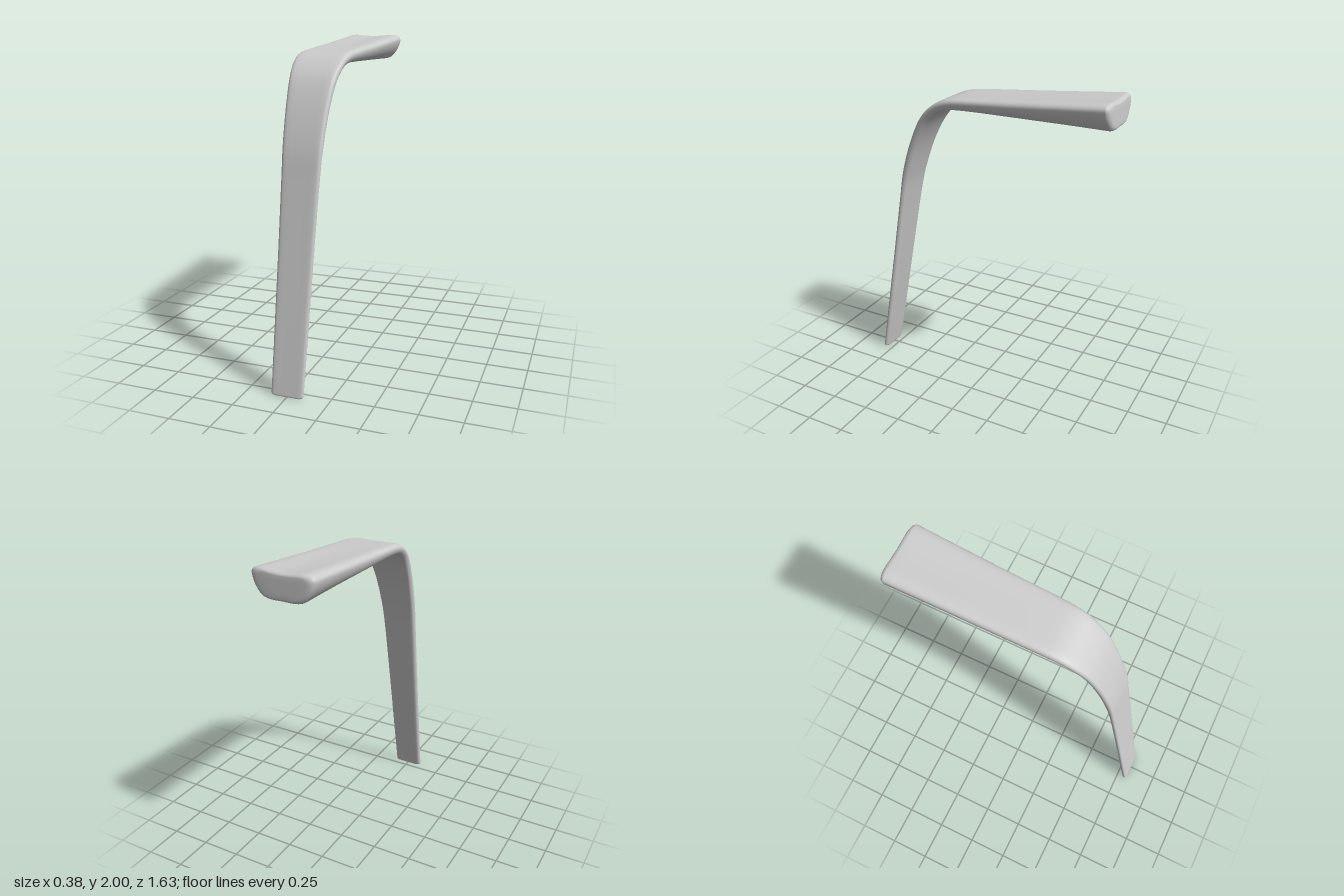
import * as THREE from 'three';

// Stations from foot to tip: [outer z, outer y, inner z, inner y, half width, bowl blend]
const STATIONS = [
  [0.818, 0.012, 0.785, 0.012, 0.098, 0],
  [0.748, 0.4, 0.712, 0.4, 0.103, 0],
  [0.675, 0.8, 0.638, 0.8, 0.108, 0],
  [0.602, 1.2, 0.562, 1.2, 0.115, 0],
  [0.563, 1.4, 0.517, 1.38, 0.121, 0],
  [0.495, 1.6, 0.447, 1.575, 0.13, 0],
  [0.41, 1.765, 0.365, 1.725, 0.142, 0.02],
  [0.31, 1.86, 0.285, 1.807, 0.156, 0.06],
  [0.2, 1.908, 0.19, 1.838, 0.165, 0.15],
  [0.03, 1.928, 0.03, 1.843, 0.171, 0.35],
  [-0.25, 1.952, -0.25, 1.841, 0.177, 0.6],
  [-0.52, 1.976, -0.52, 1.839, 0.184, 0.85],
  [-0.78, 2.0, -0.785, 1.837, 0.192, 1],
];

// Half sections: [fraction of half width, height from inner (0) to outer (1)]
const STRIP = [[0, 1], [0.4, 1], [0.7, 1], [0.88, 0.96], [0.97, 0.82], [1, 0.6], [0.98, 0.35], [0.9, 0.1], [0.72, 0.01], [0.4, 0], [0, 0]];
const BOWL = [[0, 0.95], [0.35, 0.97], [0.65, 1], [0.86, 0.97], [0.97, 0.89], [1, 0.76], [0.94, 0.52], [0.82, 0.28], [0.65, 0.08], [0.4, 0], [0, 0]];

const AROUND = 64, ALONG = 72;

// Mirror a half section and sample it as a smooth closed loop
function closedSection(half) {
  const mirrored = half.slice(1, -1).reverse().map(([u, t]) => [-u, t]);
  const pts = [...half, ...mirrored].map(([u, t]) => new THREE.Vector3(u, t, 0));
  const curve = new THREE.CatmullRomCurve3(pts, true, 'catmullrom', 0.5);
  return Array.from({ length: AROUND }, (_, j) => curve.getPoint(j / AROUND));
}

const spline = (pts) => new THREE.CatmullRomCurve3(pts, false, 'catmullrom', 0.5);

function createArmGeometry() {
  const outer = spline(STATIONS.map((s) => new THREE.Vector3(0, s[1], s[0])));
  const inner = spline(STATIONS.map((s) => new THREE.Vector3(0, s[3], s[2])));
  const size = spline(STATIONS.map((s) => new THREE.Vector3(s[4], s[5], 0)));
  const strip = closedSection(STRIP), bowl = closedSection(BOWL);

  // One ring of the loft, optionally shrunk and pushed along to form an end cap
  function ring(t, scale = 1, push = new THREE.Vector3()) {
    const o = outer.getPoint(t), i = inner.getPoint(t), s = size.getPoint(t);
    const centre = o.clone().add(i).multiplyScalar(0.5).add(push);
    const across = o.clone().sub(i);
    return strip.map((p, j) => {
      const q = p.clone().lerp(bowl[j], s.y);
      return centre.clone()
        .addScaledVector(across, (q.y - 0.5) * scale)
        .add(new THREE.Vector3(q.x * s.x * scale, 0, 0));
    });
  }

  // Rounded caps: [scale, fraction of cap depth]
  const cap = [[0.985, 0.3], [0.94, 0.65], [0.86, 0.9], [0.75, 1], [0.4, 1], [0, 1]];
  const foot = new THREE.Vector3(0, -0.012, 0.002), tip = new THREE.Vector3(0, 0, -0.028);
  const rings = cap.map(([s, d]) => ring(0, s, foot.clone().multiplyScalar(d))).reverse();
  for (let i = 0; i <= ALONG; i++) rings.push(ring(i / ALONG));
  cap.forEach(([s, d]) => rings.push(ring(1, s, tip.clone().multiplyScalar(d))));

  const index = [];
  for (let i = 0; i < rings.length - 1; i++) {
    for (let j = 0; j < AROUND; j++) {
      const k = (j + 1) % AROUND;
      const a = i * AROUND + j, b = i * AROUND + k;
      index.push(a, b, a + AROUND, b, b + AROUND, a + AROUND);
    }
  }
  const geometry = new THREE.BufferGeometry().setFromPoints(rings.flat());
  geometry.setIndex(index);
  geometry.computeVertexNormals();
  return geometry;
}

export function createModel() {
  const group = new THREE.Group();
  group.name = 'bentArm';
  const arm = new THREE.Mesh(createArmGeometry(), new THREE.MeshStandardMaterial({ color: 0xcccccc }));
  arm.name = 'curvedArm';
  group.add(arm);
  return group;
}
